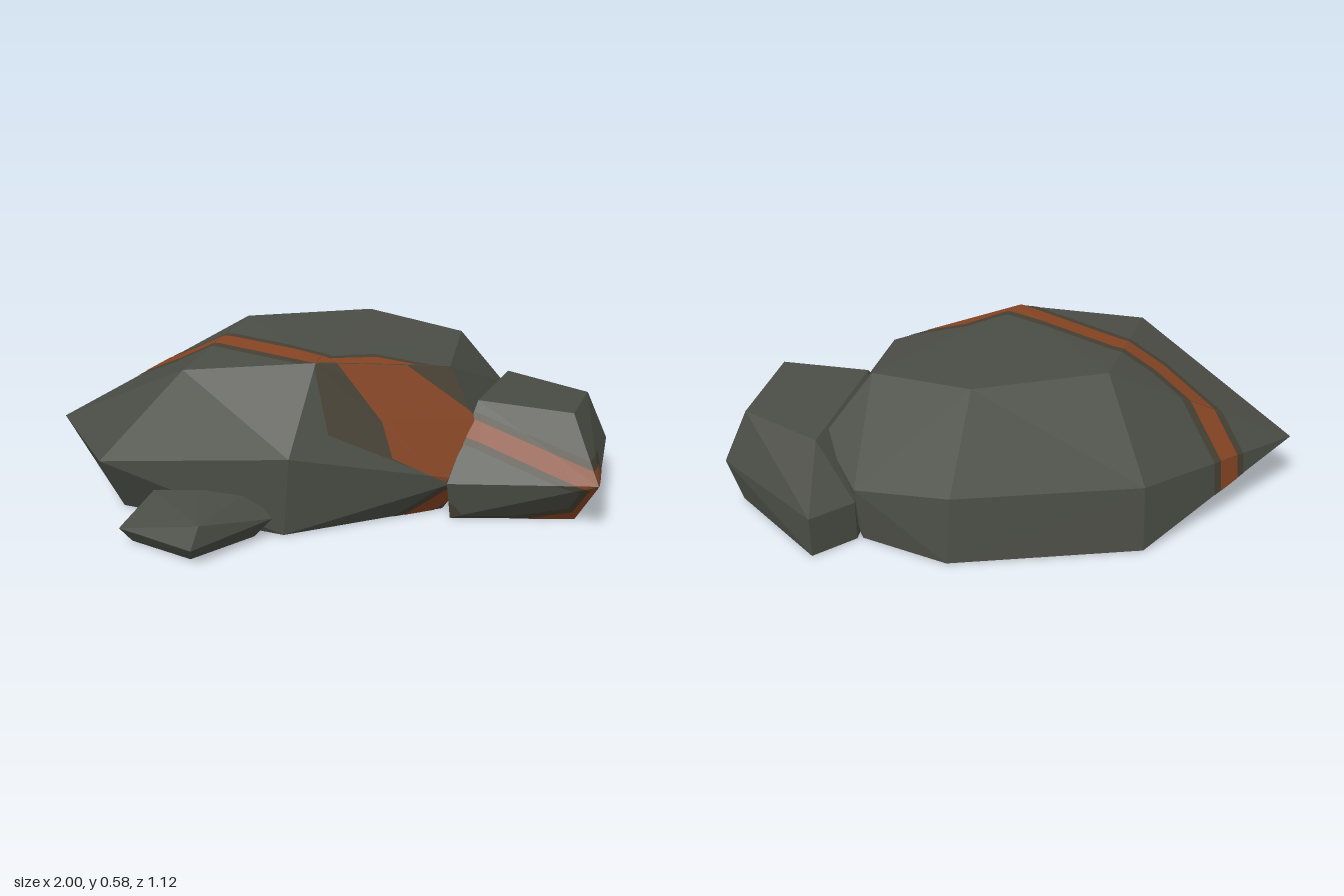
import * as THREE from 'three';
import { ConvexGeometry } from 'three/addons/geometries/ConvexGeometry.js';

const ROCK = 0x4a4d45, EDGE = 0x464033, ORE = 0x854423;

const material = (color) => new THREE.MeshStandardMaterial({ color, flatShading: true });

function rock(name, points) {
  const geo = new ConvexGeometry(points.map((p) => new THREE.Vector3(...p)));
  const mesh = new THREE.Mesh(geo, material(ROCK));
  mesh.name = name;
  return mesh;
}

// Cut a 3D polygon to a convex 2D outline, seen along one axis (u, v are the other two)
function clip(poly, outline, u, v) {
  let area = 0;
  outline.forEach((a, i) => {
    const b = outline[(i + 1) % outline.length];
    area += a[0] * b[1] - b[0] * a[1];
  });
  const sign = Math.sign(area);
  outline.forEach((a, i) => {
    const b = outline[(i + 1) % outline.length];
    const side = (p) => sign * ((b[0] - a[0]) * (p[v] - a[1]) - (b[1] - a[1]) * (p[u] - a[0]));
    const out = [];
    poly.forEach((p, k) => {
      const q = poly[(k + 1) % poly.length];
      const dp = side(p), dq = side(q);
      if (dp >= 0) out.push(p);
      if (dp * dq < 0) out.push(p.clone().lerp(q, dp / (dp - dq)));
    });
    poly = out;
  });
  return poly;
}

// Lay outlines onto the faces of a rock that pass the facing test
function vein(name, target, outlines, [u, v], facing, color, lift) {
  const src = target.geometry.attributes.position;
  const positions = [];
  for (let i = 0; i < src.count; i += 3) {
    const tri = [0, 1, 2].map((k) => new THREE.Vector3().fromBufferAttribute(src, i + k));
    const n = new THREE.Triangle(...tri).getNormal(new THREE.Vector3());
    if (!facing(n)) continue;
    for (const outline of outlines) {
      const poly = clip(tri, outline, u, v).map((p) => p.clone().addScaledVector(n, lift));
      for (let k = 1; k + 1 < poly.length; k++) {
        for (const p of [poly[0], poly[k], poly[k + 1]]) positions.push(p.x, p.y, p.z);
      }
    }
  }
  const geo = new THREE.BufferGeometry();
  geo.setAttribute('position', new THREE.Float32BufferAttribute(positions, 3));
  geo.computeVertexNormals();
  const mesh = new THREE.Mesh(geo, material(color));
  mesh.name = name;
  return mesh;
}

// Turn a path into mitred quads of the given half width
function ribbon(path, w) {
  const pts = path.map((p) => new THREE.Vector2(...p));
  const normal = (a, b) => {
    const d = b.clone().sub(a).normalize();
    return new THREE.Vector2(-d.y, d.x);
  };
  const sides = pts.map((p, i) => {
    const n1 = normal(pts[Math.max(i - 1, 0)], pts[Math.max(i, 1)]);
    const last = pts.length - 1;
    const n2 = normal(pts[Math.min(i, last - 1)], pts[Math.min(i + 1, last)]);
    const m = n1.clone().add(n2).normalize();
    m.multiplyScalar(w / Math.max(m.dot(n1), 0.5));
    return [p.clone().add(m).toArray(), p.clone().sub(m).toArray()];
  });
  return sides.slice(1).map((s, i) => [sides[i][0], s[0], s[1], sides[i][1]]);
}

export function createModel() {
  const group = new THREE.Group();

  const boulder = rock('mainBoulder', [
    // crown
    [-0.56, 0.53, 0.14], [-0.12, 0.57, 0.25], [-0.3, 0.57, -0.32],
    [0.17, 0.57, -0.34], [0.47, 0.54, -0.11], [0.36, 0.51, 0.18],
    // waist
    [-1, 0.22, -0.29], [-0.86, 0.22, 0.16], [-0.23, 0.28, 0.38], [0.39, 0.14, 0.325],
    [0.45, 0.3, 0.25], [0.65, 0.32, -0.12], [0.57, 0.2, -0.3],
    [0.27, 0.24, -0.475], [-0.38, 0.24, -0.535],
    // base
    [-0.79, 0, 0.06], [-0.25, 0, 0.375], [0.33, 0, 0.25], [0.58, 0, -0.12],
    [0.55, 0, -0.3], [0.29, 0, -0.5], [-0.38, 0, -0.56], [-0.75, 0, -0.25],
  ]);

  const sideRock = rock('sideRock', [
    [0.46, 0.385, 0.2], [0.76, 0.375, 0.345], [0.91, 0.34, 0.065], [0.68, 0.345, -0.19],
    [0.32, 0.14, 0.35], [0.79, 0.19, 0.55], [1, 0.15, 0.055], [0.73, 0.15, -0.37],
    [0.57, 0.15, -0.3], [0.34, 0, 0.33], [0.77, 0, 0.4], [0.95, 0, 0.025],
    [0.73, 0, -0.37], [0.57, 0, -0.3],
  ]);

  const smallRock = rock('smallRock', [
    [-0.53, 0.145, 0.28], [-0.68, 0.14, 0.25], [-0.54, 0.13, 0.525], [-0.36, 0.135, 0.3],
    [-0.8, 0.06, 0.36], [-0.78, 0.06, 0.31], [-0.57, 0.06, 0.56], [-0.29, 0.07, 0.385],
    [-0.55, 0.07, 0.1], [-0.76, 0, 0.34], [-0.57, 0, 0.5], [-0.35, 0, 0.37], [-0.55, 0, 0.15],
  ]);
  group.add(boulder, sideRock, smallRock);

  const XZ = ['x', 'z'], XY = ['x', 'y'];
  const up = (n) => n.y > 0.03 && !(n.z > 0.5);
  const down = (n) => n.y < -0.03;
  const front = (n) => n.z > 0.5;
  const forward = (n) => n.z > 0.1 && n.y > -0.9;

  // Ore vein paths
  const topPath = [[-0.78, -0.46], [-0.71, -0.38], [-0.53, -0.17], [-0.4, -0.09], [-0.06, 0.27]];
  const shoulderPath = [[-0.1, 0.25], [0.1, 0.2], [0.3, 0.24]];
  const bottomPath = [[-0.78, -0.46], [-0.57, -0.36], [-0.14, -0.16], [-0.17, 0.16], [0.36, 0.3], [0.56, 0.33], [0.8, 0.42]];
  const sidePath = [[0.3, 0.33], [0.45, 0.295], [0.8, 0.19], [0.77, -0.02]];

  // Broad exposed patch on the front of the boulder
  const patchEdge = [[[-0.13, 0.58], [0.12, 0.58], [0.37, 0.51], [0.5, 0.32], [0.35, 0.13], [0.12, 0.24], [-0.09, 0.34]]];
  const patchOre = [
    [[-0.06, 0.58], [0.06, 0.58], [0.2, 0.53], [0.46, 0.33], [0.1, 0.36]],
    [[0.1, 0.36], [0.46, 0.33], [0.32, 0.14], [0.13, 0.24]],
  ];

  // Each vein is a dull border with a brighter core laid over it
  const layers = [['Edge', EDGE, 0.0015, 1.75, patchEdge], ['Ore', ORE, 0.003, 1, patchOre]];
  for (const [suffix, color, lift, k, patch] of layers) {
    const add = (name, target, shapes, plane, facing) =>
      group.add(vein(name + suffix, target, shapes, plane, facing, color, lift));
    add('topVein', boulder, ribbon(topPath, 0.036 * k), XZ, up);
    add('shoulderVein', boulder, ribbon(shoulderPath, 0.03 * k), XZ, up);
    add('frontVein', boulder, patch, XY, front);
    add('bottomVein', boulder, ribbon(bottomPath, 0.026 * k), XZ, down);
    add('sideVein', sideRock, ribbon(sidePath, 0.03 * k), XY, forward);
    add('sideBottomVein', sideRock, ribbon(bottomPath, 0.026 * k), XZ, down);
  }
  return group;
}
